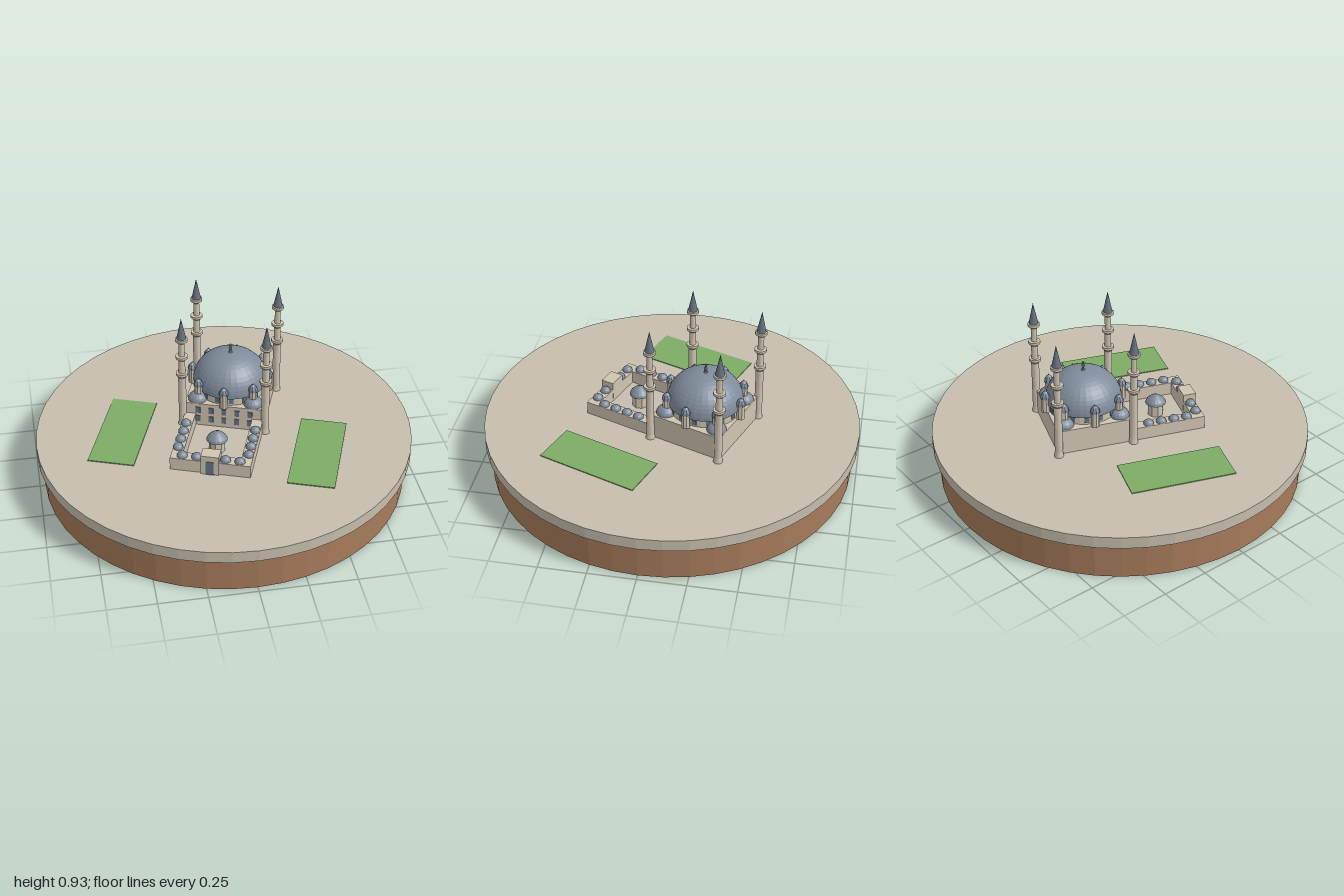
import * as THREE from 'three';

const mat = (name, color) => {
  const m = new THREE.MeshStandardMaterial({ color, flatShading: true });
  m.name = name;
  return m;
};

export function createModel() {
  const paving = mat('paving', 0xc6bead);
  const earth = mat('earth', 0xa67b5b);
  const stone = mat('stone', 0xd0c5b2);
  const lead = mat('lead', 0x7f8c9b);
  const spire = mat('spire', 0x66717f);
  const glass = mat('glass', 0x66758a);
  const grass = mat('grass', 0x7cad65);

  const root = new THREE.Group();
  root.name = 'mosqueDiorama';
  const mosque = new THREE.Group();
  mosque.name = 'mosque';
  mosque.position.y = 0.265;
  mosque.rotation.y = -0.35;
  root.add(mosque);

  const add = (parent, name, geo, material, x = 0, y = 0, z = 0) => {
    const m = new THREE.Mesh(geo, material);
    m.name = name;
    m.position.set(x, y, z);
    parent.add(m);
    return m;
  };
  // box and cylinder placed by the centre of their bottom face
  const box = (parent, name, material, w, h, d, x, y, z) =>
    add(parent, name, new THREE.BoxGeometry(w, h, d), material, x, y + h / 2, z);
  const cyl = (parent, name, material, rTop, rBottom, h, sides, x, y, z) =>
    add(parent, name, new THREE.CylinderGeometry(rTop, rBottom, h, sides), material, x, y + h / 2, z);
  const lathe = (pts, sides) =>
    new THREE.LatheGeometry(pts.map(([r, y]) => new THREE.Vector2(r, y)), sides);
  const dome = (parent, name, r, h, sides, rings, x, y, z) => {
    const g = new THREE.SphereGeometry(r, sides, rings, 0, Math.PI * 2, 0, Math.PI / 2);
    g.scale(1, h / r, 1);
    return add(parent, name, g, lead, x, y, z);
  };

  // round base
  cyl(root, 'earthBase', earth, 0.97, 0.97, 0.2, 48, 0, 0, 0);
  cyl(root, 'pavedDisc', paving, 1, 1, 0.065, 48, 0, 0.2, 0);

  // lawns
  for (const s of [-1, 1]) box(mosque, 'lawn', grass, 0.245, 0.005, 0.555, s * 0.521, 0, 0.134);

  // prayer hall with two rows of front windows
  box(mosque, 'prayerHall', stone, 0.42, 0.137, 0.4, 0, 0, -0.2);
  for (let i = -2; i <= 2; i++)
    for (const y of [0.025, 0.08])
      box(mosque, 'hallWindow', glass, 0.026, 0.036, 0.006, i * 0.07, y, 0.001);

  // drum, windows, main dome and finial
  const crown = new THREE.Group();
  crown.name = 'domeCrown';
  crown.position.set(0, 0.137, -0.2);
  mosque.add(crown);
  cyl(crown, 'drum', stone, 0.188, 0.188, 0.05, 32, 0, 0, 0);
  for (let i = 0; i < 16; i++) {
    const a = ((i + 0.5) / 16) * Math.PI * 2;
    const w = box(crown, 'drumWindow', glass, 0.024, 0.03, 0.006,
      Math.sin(a) * 0.188, 0.01, Math.cos(a) * 0.188);
    w.rotation.y = a;
  }
  dome(crown, 'mainDome', 0.2, 0.168, 32, 12, 0, 0.048, 0);
  cyl(crown, 'drumSoffit', lead, 0.2, 0.2, 0.002, 32, 0, 0.047, 0);
  add(crown, 'finialBase', lathe([[0.013, 0], [0.006, 0.01], [0.006, 0.02]], 8), lead, 0, 0.213, 0);
  add(crown, 'finial', lathe([[0, 0], [0.01, 0.01], [0.006, 0.02], [0.005, 0.035], [0, 0.042]], 8),
    grass, 0, 0.228, 0);

  // eight turrets around the dome, and corner domes on the diagonals
  for (let i = 0; i < 8; i++) {
    const a = (i / 8) * Math.PI * 2;
    const x = Math.cos(a) * 0.208, z = Math.sin(a) * 0.208;
    const t = new THREE.Group();
    t.name = 'turret';
    t.position.set(x, 0, z);
    crown.add(t);
    cyl(t, 'turretShaft', stone, 0.021, 0.023, 0.085, 8, 0, 0, 0);
    add(t, 'turretCap', lathe([[0, 0], [0.026, 0], [0.024, 0.015], [0.015, 0.03], [0.004, 0.04], [0, 0.048]], 8),
      lead, 0, 0.083, 0);
    if (i % 2) dome(crown, 'cornerDome', 0.052, 0.042, 16, 6, x * 1.02, 0, z * 1.02);
  }

  // four minarets with three balconies each
  const shaft = [[0, 0], [0.025, 0], [0.021, 0.03], [0.021, 0.3]];
  [[0.31, 0.021, 0.018], [0.415, 0.018, 0.016], [0.52, 0.016, 0.015]].forEach(([y, r0, r1]) =>
    shaft.push([r0, y - 0.005], [0.032, y + 0.008], [0.032, y + 0.022], [r1, y + 0.022]));
  shaft.push([0.015, 0.55], [0, 0.55]);
  for (const x of [-0.222, 0.222])
    for (const z of [-0.4, 0.003]) {
      const m = new THREE.Group();
      m.name = 'minaret';
      m.position.set(x, 0, z);
      mosque.add(m);
      add(m, 'minaretShaft', lathe(shaft, 16), stone);
      add(m, 'minaretSpire', lathe([[0, 0], [0.025, 0], [0.008, 0.08], [0, 0.118]], 16), spire, 0, 0.544, 0);
    }

  // courtyard arcades with small domes
  box(mosque, 'frontArcade', stone, 0.42, 0.072, 0.06, 0, 0, 0.372);
  for (const s of [-1, 1]) {
    box(mosque, 'sideArcade', stone, 0.058, 0.072, 0.342, s * 0.181, 0, 0.171);
    for (let i = 0; i < 4; i++)
      dome(mosque, 'arcadeDome', 0.028, 0.026, 12, 5, s * 0.185, 0.072, 0.098 + i * 0.07);
    for (const x of [0.075, 0.15])
      dome(mosque, 'arcadeDome', 0.028, 0.026, 12, 5, s * x, 0.072, 0.372);
  }

  // gate
  box(mosque, 'gate', stone, 0.095, 0.113, 0.07, 0, 0, 0.376);
  box(mosque, 'gateDoor', glass, 0.042, 0.08, 0.006, 0, 0, 0.411);

  // fountain in the courtyard
  cyl(mosque, 'fountainBody', stone, 0.042, 0.042, 0.074, 8, 0, 0, 0.2);
  add(mosque, 'fountainRoof', lathe([[0, 0], [0.056, 0], [0.05, 0.014], [0.035, 0.029], [0.016, 0.041], [0, 0.048]], 16),
    lead, 0, 0.072, 0.2);

  return root;
}
